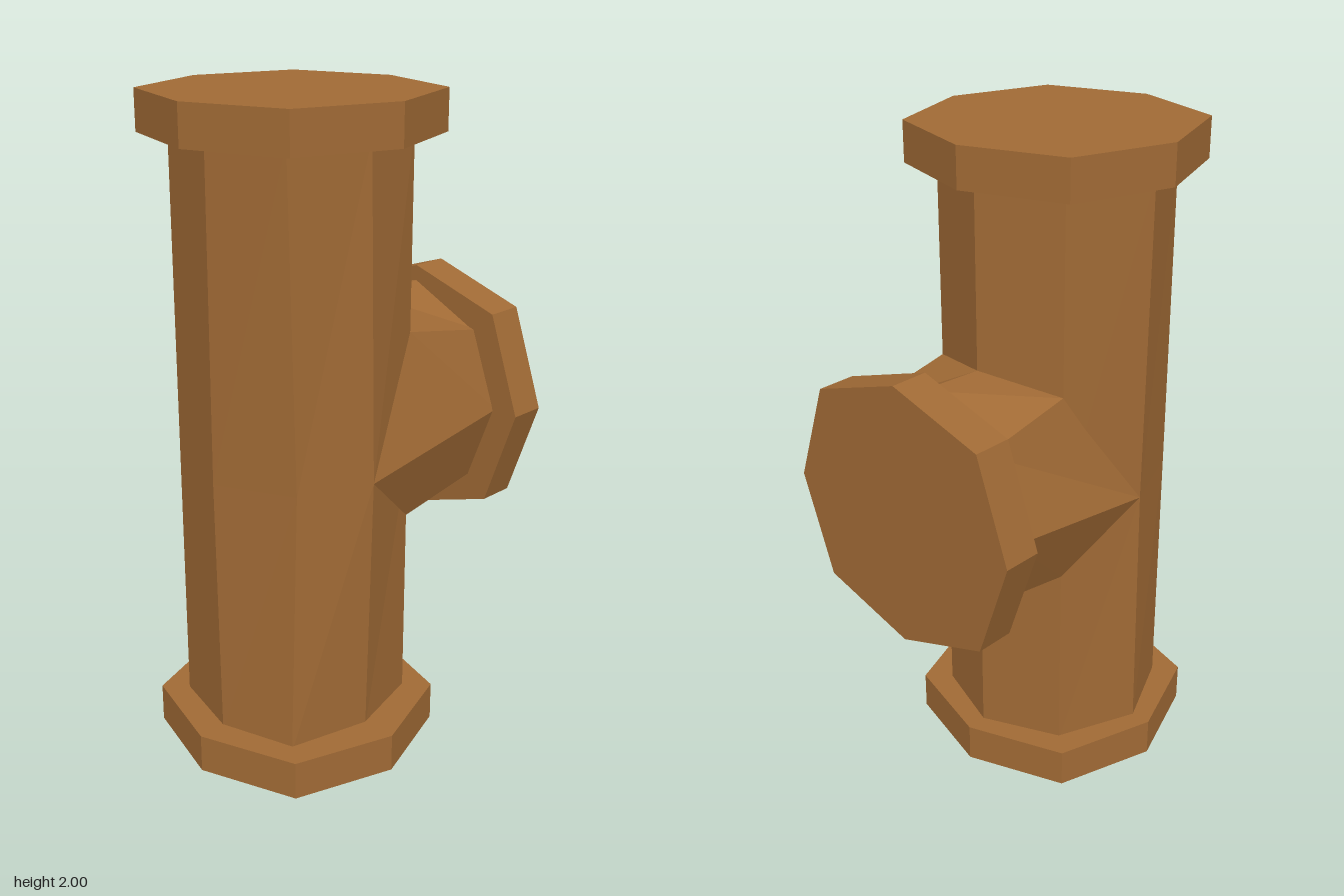
import * as THREE from 'three';

const material = new THREE.MeshStandardMaterial({
  color: 0xa06a35, flatShading: true, roughness: 0.9, metalness: 0, side: THREE.DoubleSide,
});
const AXIS_Z = 0.13; // the upright pipe stands forward of the origin

// Skin a series of rings, each running counter-clockwise about the loft direction
function loft(rings) {
  const pos = [];
  for (let r = 0; r < rings.length - 1; r++) {
    const lo = rings[r], hi = rings[r + 1], n = lo.length;
    for (let i = 0; i < n; i++) {
      const j = (i + 1) % n;
      pos.push(...lo[i], ...lo[j], ...hi[j], ...lo[i], ...hi[j], ...hi[i]);
    }
  }
  const geo = new THREE.BufferGeometry();
  geo.setAttribute('position', new THREE.Float32BufferAttribute(pos, 3));
  geo.computeVertexNormals();
  return geo;
}

function addMesh(parent, name, geo) {
  const mesh = new THREE.Mesh(geo, material);
  mesh.name = name;
  parent.add(mesh);
  return mesh;
}

// Eight-sided end cap, centred, with its thickness along z
function flangeGeometry() {
  const pts = [];
  for (let i = 0; i < 8; i++) {
    const a = (i * Math.PI) / 4, r = i % 2 ? 0.431 : 0.41;
    pts.push(new THREE.Vector2(r * Math.cos(a), Math.min(0.405, Math.max(-0.405, r * Math.sin(a)))));
  }
  const geo = new THREE.ExtrudeGeometry(new THREE.Shape(pts), { depth: 0.12, bevelEnabled: false });
  return geo.translate(0, 0, -0.06);
}

export function createModel() {
  const group = new THREE.Group();
  group.name = 'pipeTee';

  // Upright pipe, slightly uneven: ends and the bulge at the branch level
  const ring = (y, right, left, frontZ, cornerZ) => [
    [0, y, frontZ], [0.235, y, cornerZ], [right, y, AXIS_Z], [0.235, y, -0.115],
    [0, y, -0.21], [-0.24, y, -0.115], [left, y, AXIS_Z], [-0.24, y, 0.375],
  ];
  addMesh(group, 'uprightPipe', loft([
    ring(0.1, 0.3, -0.347, 0.445, 0.38),
    ring(0.92, 0.322, -0.338, 0.455, 0.352),
    ring(1.9, 0.3, -0.347, 0.45, 0.38),
  ]));

  // Side branch: its inner ring follows the faces of the upright pipe
  const junction = [
    [0, 1.345, -0.21], [0.235, 1.3, -0.115], [0.322, 0.92, AXIS_Z], [0.235, 0.715, -0.115],
    [0, 0.66, -0.21], [-0.24, 0.715, -0.115], [-0.338, 0.92, AXIS_Z], [-0.24, 1.3, -0.115],
  ];
  const mouth = [
    [0, 1.357, -0.43], [0.235, 1.24, -0.43], [0.322, 1, -0.43], [0.235, 0.765, -0.43],
    [0, 0.648, -0.43], [-0.24, 0.765, -0.43], [-0.34, 1, -0.43], [-0.24, 1.24, -0.43],
  ];
  addMesh(group, 'branchPipe', loft([junction, mouth]));

  // End flanges
  for (const [name, y] of [['bottomFlange', 0.06], ['topFlange', 1.94]]) {
    const flange = addMesh(group, name, flangeGeometry());
    flange.rotation.x = Math.PI / 2;
    flange.position.set(0, y, AXIS_Z);
  }
  addMesh(group, 'branchFlange', flangeGeometry()).position.set(0, 1, -0.473);

  return group;
}
